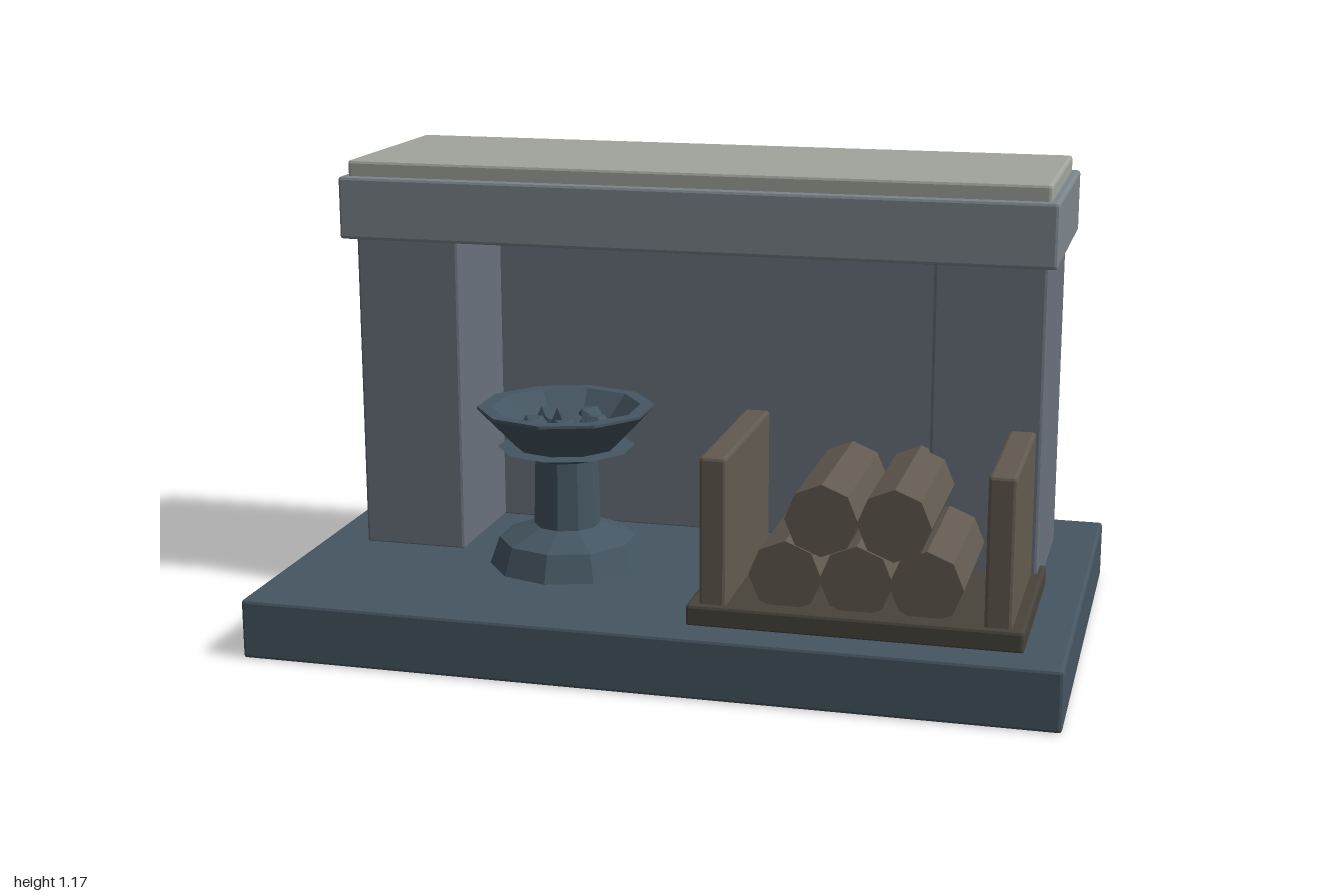
import * as THREE from 'three';
import { RoundedBoxGeometry } from 'three/addons/geometries/RoundedBoxGeometry.js';

const material = (color, side = THREE.FrontSide) =>
  new THREE.MeshStandardMaterial({ color, flatShading: true, side });

const slate = material(0x465662);
const stone = material(0x6a717d);
const mantelStone = material(0x7c858c);
const paleStone = material(0xa0a59c);
const wood = material(0x625a50);
const darkWood = material(0x48443c);
const iron = material(0x455662, THREE.DoubleSide);

export function createModel() {
  const model = new THREE.Group();
  model.name = 'fireplace';

  const add = (parent, name, geometry, mat, x = 0, y = 0, z = 0) => {
    const mesh = new THREE.Mesh(geometry, mat);
    mesh.name = name;
    mesh.position.set(x, y, z);
    parent.add(mesh);
    return mesh;
  };

  // Block with chamfered edges, given by its extents on each axis
  const block = (parent, name, mat, [x0, x1], [y0, y1], [z0, z1], bevel = 0.008) =>
    add(parent, name, new RoundedBoxGeometry(x1 - x0, y1 - y0, z1 - z0, 1, bevel), mat,
      (x0 + x1) / 2, (y0 + y1) / 2, (z0 + z1) / 2);

  // Hearth, surround and mantel
  block(model, 'hearthBase', slate, [-1, 1], [0, 0.15], [-0.59, 0.59]);
  block(model, 'backPanel', stone, [-0.82, 0.82], [0.145, 0.965], [-0.46, -0.27]);
  block(model, 'rightPillar', stone, [-0.885, -0.61], [0.145, 0.975], [-0.405, 0.06]);
  block(model, 'leftPillar', stone, [0.61, 0.885], [0.145, 0.975], [-0.405, 0.06]);
  block(model, 'mantel', mantelStone, [-0.91, 0.91], [0.97, 1.13], [-0.48, 0.11]);
  block(model, 'mantelSlab', paleStone, [-0.89, 0.89], [1.12, 1.17], [-0.46, 0.09]);

  // Log rack
  const rack = new THREE.Group();
  rack.name = 'logRack';
  model.add(rack);
  block(rack, 'rackTray', darkWood, [0.1, 0.9], [0.145, 0.2], [-0.02, 0.495]);
  for (const x of [0.13, 0.805])
    block(rack, 'rackSide', wood, [x, x + 0.065], [0.19, 0.56], [0, 0.48]);

  // Stacked eight-sided logs
  const logGeometry = new THREE.CylinderGeometry(0.088, 0.088, 0.41, 8).rotateX(Math.PI / 2);
  for (const [x, y] of [[0.33, 0.272], [0.5, 0.272], [0.665, 0.272], [0.415, 0.415], [0.587, 0.415]])
    add(rack, 'log', logGeometry, wood, x, y, 0.24);

  // Ten-sided brazier
  const brazier = new THREE.Group();
  brazier.name = 'brazier';
  brazier.position.set(-0.315, 0, 0.095);
  model.add(brazier);
  const turned = (name, profile) =>
    add(brazier, name,
      new THREE.LatheGeometry(profile.map(([r, y]) => new THREE.Vector2(r, y)), 10), iron);
  turned('brazierStand', [
    [0, 0.15], [0.2, 0.15], [0.175, 0.22], [0.085, 0.255], [0.08, 0.43],
    [0.175, 0.46], [0, 0.47],
  ]);
  turned('brazierBowl', [
    [0.125, 0.455], [0.225, 0.558], [0.225, 0.565], [0.19, 0.565], [0.11, 0.475], [0, 0.47],
  ]);

  // Coals in the bowl
  const coalGeometry = new THREE.IcosahedronGeometry(0.042, 0);
  [[-0.07, 0.045], [0.02, 0.075], [0.085, 0.01], [0.04, -0.075], [-0.06, -0.05], [0, 0]]
    .forEach(([x, z], i) => {
      const coal = add(brazier, 'coal', coalGeometry, iron, x, i === 5 ? 0.525 : 0.51, z);
      coal.rotation.set(i * 0.9, i * 1.7, i * 0.5);
    });

  return model;
}
